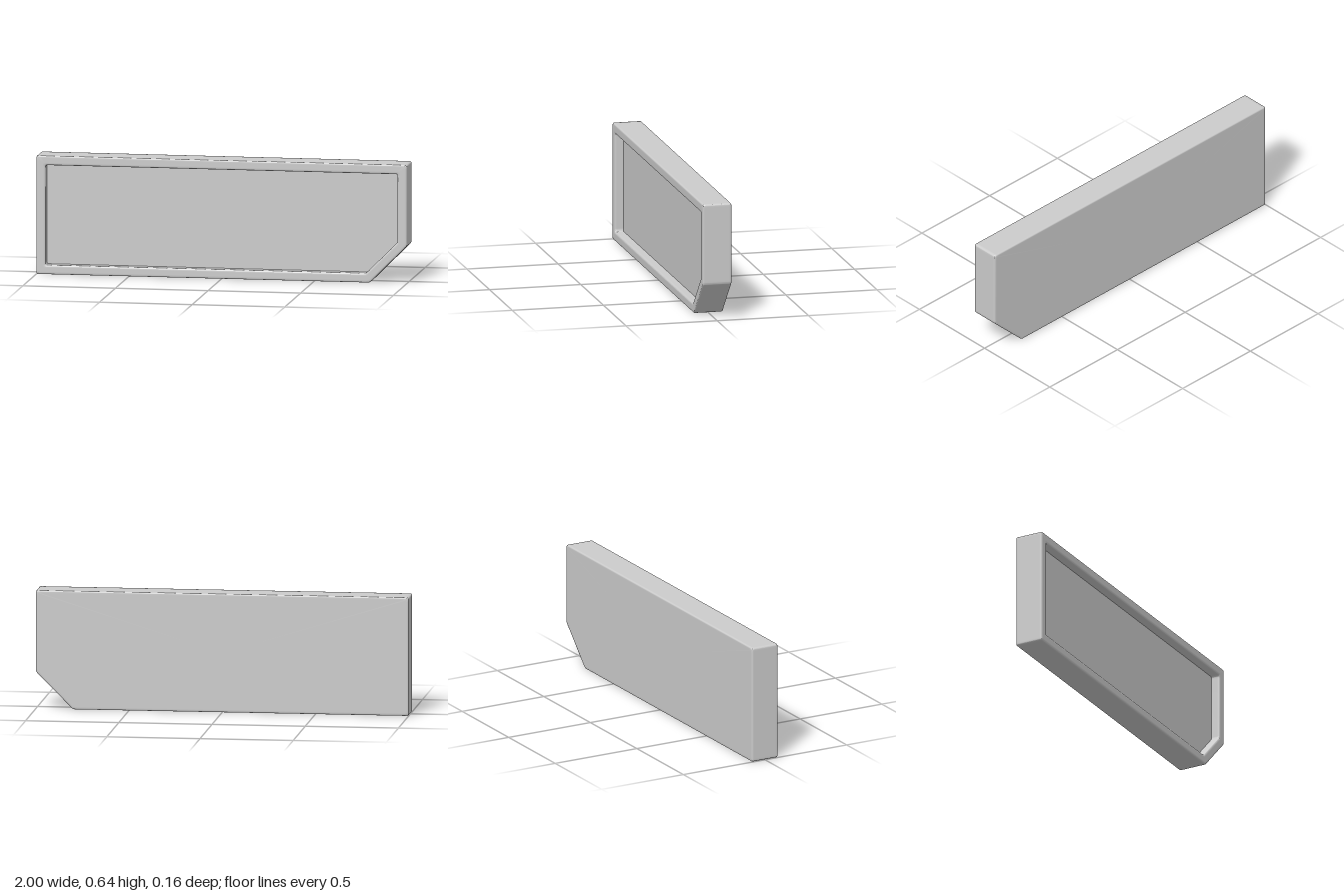
import * as THREE from 'three';
import { toCreasedNormals } from 'three/addons/utils/BufferGeometryUtils.js';

const H = 0.637, Z = 0.079, RIM = 0.05, FLOOR = 0.03, R = 0.007;

// Outline moved inwards by d, counter-clockwise, with softened corners
function outline(d) {
  const k = d * Math.SQRT2;
  const corners = [
    [-1 + d, d], [0.8 - k + d, d], [1 - d, 0.2 + k - d], [1 - d, H - d], [-1 + d, H - d],
  ].map(([x, y]) => new THREE.Vector2(x, y));
  const points = [];
  corners.forEach((p, i) => {
    const prev = corners[(i + 4) % 5], next = corners[(i + 1) % 5];
    const u = prev.clone().sub(p).normalize(), v = next.clone().sub(p).normalize();
    const along = (dir, t) => p.clone().addScaledVector(dir, t);
    // the outer pair of points keeps the long sides flat-shaded
    const bend = new THREE.QuadraticBezierCurve(along(u, 0.01), p, along(v, 0.01));
    points.push(along(u, 0.018), ...bend.getPoints(4), along(v, 0.018));
  });
  return points;
}

// Quarter-round edge in (inset, z) around a centre, between two angles
function roundEdge(d, z, from, to) {
  return [0, 1, 2, 3].map((i) => {
    const a = THREE.MathUtils.degToRad(from + (to - from) * i / 3);
    return [d - R * Math.cos(a), z + R * Math.sin(a)];
  });
}

// Skin the outline through a list of [inset, z] sections and close both ends
function loft(sections) {
  const pos = [], index = [];
  let n = 0;
  for (const [d, z] of sections) {
    const ring = outline(d);
    n = ring.length;
    for (const p of ring) pos.push(p.x, p.y, z);
  }
  const last = sections.length - 1;
  for (let i = 0; i < last; i++) {
    for (let j = 0; j < n; j++) {
      const k = (j + 1) % n, a = i * n + j, b = i * n + k, c = b + n, e = a + n;
      index.push(a, b, c, a, c, e);
    }
  }
  const back = pos.length / 3, front = back + 1;
  pos.push(0, H / 2, sections[0][1], 0, H / 2, sections[last][1]);
  for (let j = 0; j < n; j++) {
    const k = (j + 1) % n;
    index.push(back, k, j, front, last * n + j, last * n + k);
  }
  const geo = new THREE.BufferGeometry();
  geo.setAttribute('position', new THREE.Float32BufferAttribute(pos, 3));
  geo.setIndex(index);
  return toCreasedNormals(geo, 0.7);
}

export function createModel() {
  const group = new THREE.Group();
  group.name = 'recessedPanel';
  const material = new THREE.MeshStandardMaterial({ color: 0xcccccc });

  // Back face, outer wall, raised rim, inner wall, then the recessed floor
  const sections = [
    [0.015, -Z],
    ...roundEdge(R, -Z + R, -90, 0),
    [0, -Z + 0.015],
    [0, Z - 0.015],
    ...roundEdge(R, Z - R, 0, 90),
    [0.014, Z],
    [RIM - 0.014, Z],
    ...roundEdge(RIM - R, Z - R, 90, 180),
    [RIM, Z - 0.014],
    [RIM, FLOOR],
    [RIM + 0.01, FLOOR],
  ];
  const tray = new THREE.Mesh(loft(sections), material);
  tray.name = 'trayWithRim';
  group.add(tray);
  return group;
}
